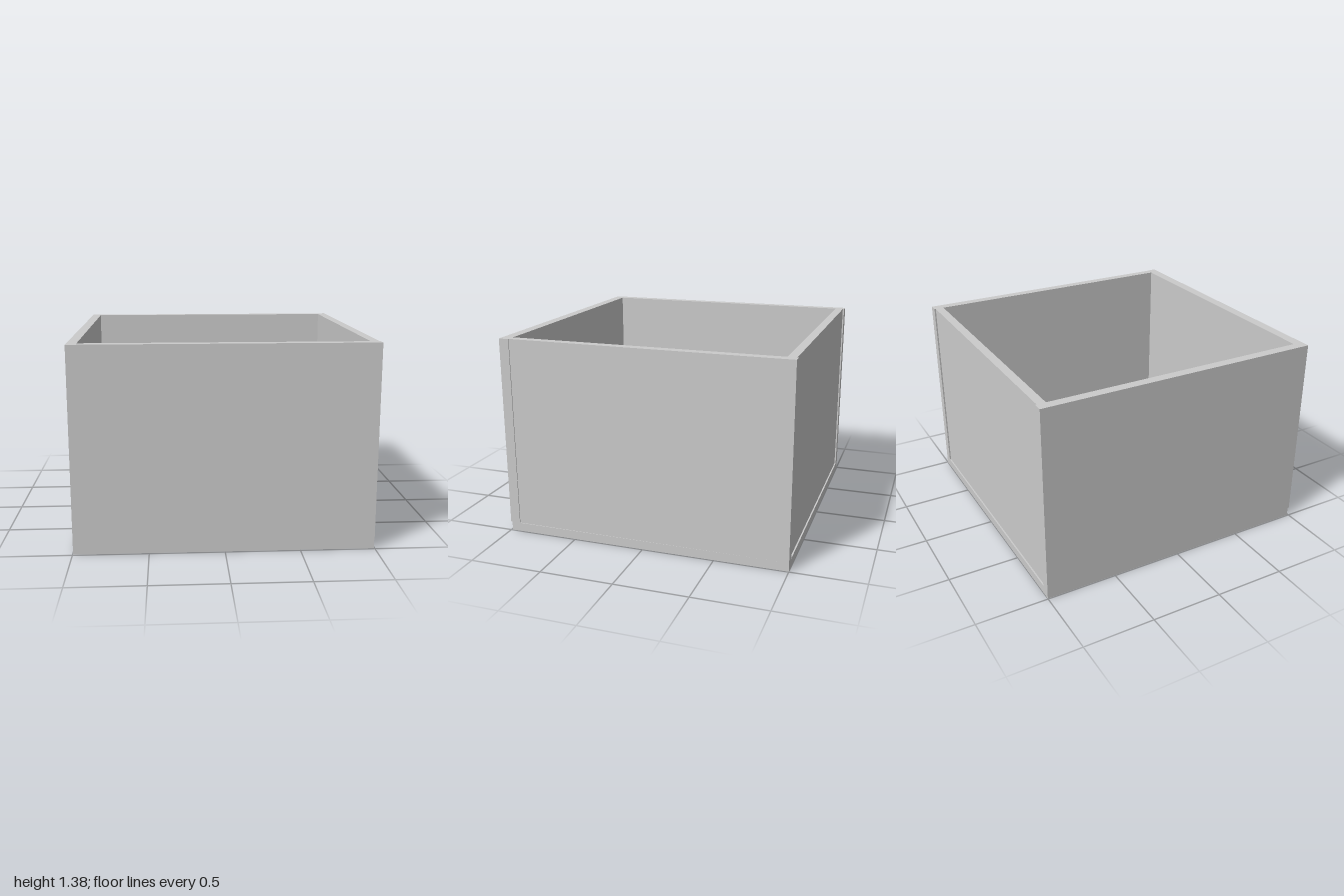
import * as THREE from 'three';

const X = 0.995, IN = 0.93, FLOOR = 0.06, TOP = 1.38;

export function createModel() {
  const group = new THREE.Group();
  const material = new THREE.MeshStandardMaterial({ color: 0xcccccc, flatShading: true });

  // Upright slab from a plan outline of [x, z] corners
  function slab(name, plan, y0, y1) {
    const shape = new THREE.Shape(plan.map(([x, z]) => new THREE.Vector2(x, -z)));
    const geometry = new THREE.ExtrudeGeometry(shape, { depth: y1 - y0, bevelEnabled: false });
    geometry.rotateX(-Math.PI / 2).translate(0, y0, 0);
    const mesh = new THREE.Mesh(geometry, material);
    mesh.name = name;
    group.add(mesh);
  }
  const rect = (x0, x1, z0, z1) => [[x0, z0], [x1, z0], [x1, z1], [x0, z1]];

  // Floor, set slightly back under the front panel
  slab('floor', rect(-X, X, -1, 0.99), 0, FLOOR);

  // Front panel overhangs the floor; back panel is recessed between the sides
  slab('frontPanel', rect(-X, X, IN, 1), FLOOR, TOP);
  slab('backPanel', rect(-IN, IN, -0.99, -IN), FLOOR, TOP);

  // Side walls: one flush, one with a very shallow recess behind the front panel
  slab('rightWall', rect(-X, -IN, -1, IN), FLOOR, TOP);
  slab('leftWall', [[IN, -1], [X, -1], [X, -IN], [0.989, IN], [IN, IN]], FLOOR, TOP);

  return group;
}
